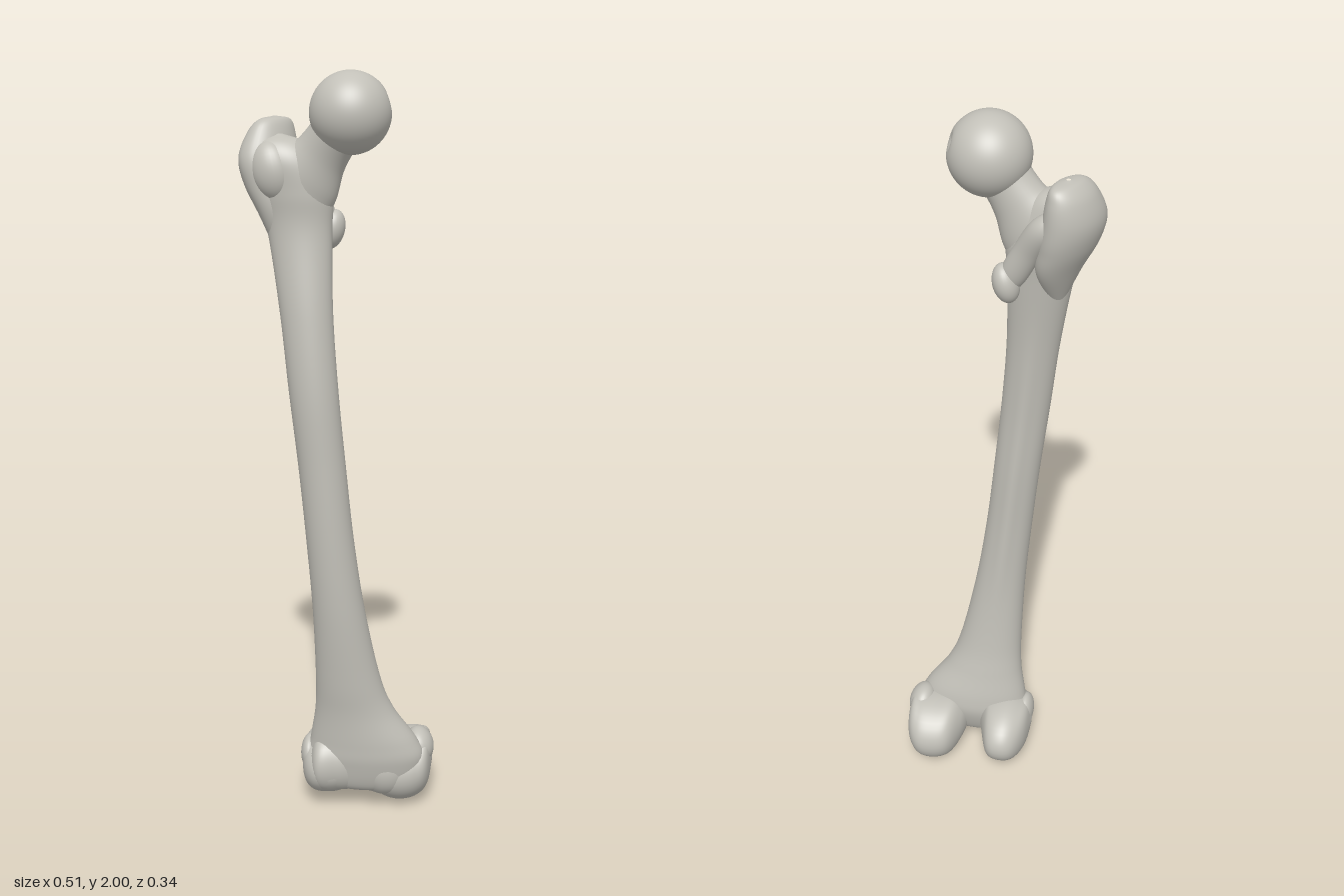
import * as THREE from 'three';

const V = (x, y, z) => new THREE.Vector3(x, y, z);

// Smooth closed body through parallel oval sections.
// rows: [x, y, z, radius along u, radius along n x u]; rows advance along n.
function loft(rows, n, u, { steps = 8, sides = 40, shape = () => 1 } = {}) {
  n = n.clone().normalize();
  u = u.clone().addScaledVector(n, -u.dot(n)).normalize();
  const v = n.clone().cross(u);
  const path = new THREE.CatmullRomCurve3(rows.map(r => V(r[0], r[1], r[2])), false, 'catmullrom');
  const size = new THREE.CatmullRomCurve3(rows.map(r => V(r[3], r[4], 0)), false, 'catmullrom');
  const rings = (rows.length - 1) * steps;
  const pos = [], index = [];
  for (let i = 0; i <= rings; i++) {
    const t = i / rings, c = path.getPoint(t), s = size.getPoint(t);
    for (let j = 0; j < sides; j++) {
      const a = j / sides * Math.PI * 2, k = shape(a, c);
      const p = c.clone()
        .addScaledVector(u, Math.max(s.x, 0.0005) * Math.cos(a) * k)
        .addScaledVector(v, Math.max(s.y, 0.0005) * Math.sin(a) * k);
      pos.push(p.x, p.y, p.z);
      if (i < rings) {
        const q = i * sides + j, r = i * sides + (j + 1) % sides;
        index.push(q, r, q + sides, r, r + sides, q + sides);
      }
    }
  }
  const g = new THREE.BufferGeometry();
  g.setAttribute('position', new THREE.Float32BufferAttribute(pos, 3));
  g.setIndex(index);
  g.computeVertexNormals();
  return g;
}

export function createModel() {
  const group = new THREE.Group();
  const bone = new THREE.MeshStandardMaterial({ color: 0xc2c0b8 });
  bone.name = 'bone';
  const X = V(1, 0, 0), Y = V(0, 1, 0), Z = V(0, 0, 1);

  const add = (name, geometry) => {
    const m = new THREE.Mesh(geometry, bone);
    m.name = name;
    group.add(m);
    return m;
  };
  const knob = (name, p, r, tilt = 0) => {
    const m = add(name, new THREE.SphereGeometry(1, 32, 20));
    m.position.set(...p);
    m.scale.set(...r);
    m.rotation.z = tilt;
  };

  // Bowed shaft, flared at both ends, with a ridge down the back
  add('shaft', loft([
    [0.065, 0.05, 0.015, 0.02, 0.01],
    [0.065, 0.075, 0.018, 0.13, 0.05],
    [0.07, 0.15, 0.015, 0.16, 0.075],
    [0.064, 0.21, 0.018, 0.147, 0.077],
    [0.04, 0.30, 0.03, 0.109, 0.068],
    [0.023, 0.40, 0.045, 0.088, 0.064],
    [0, 0.60, 0.065, 0.07, 0.062],
    [-0.022, 0.80, 0.075, 0.063, 0.06],
    [-0.042, 1.00, 0.078, 0.062, 0.059],
    [-0.063, 1.20, 0.08, 0.064, 0.057],
    [-0.082, 1.40, 0.067, 0.068, 0.054],
    [-0.101, 1.60, 0.042, 0.082, 0.054],
    [-0.115, 1.70, 0.037, 0.098, 0.063],
    [-0.14, 1.78, 0.04, 0.093, 0.062],
    [-0.152, 1.825, 0.035, 0.065, 0.045],
    [-0.155, 1.845, 0.03, 0.01, 0.01],
  ], Y, X, {
    sides: 48,
    shape: (a, c) => 1 + 0.14 * Math.exp(-(((a - Math.PI / 2) / 0.3) ** 2))
      * Math.exp(-(((c.y - 1.0) / 0.42) ** 4)),
  }));

  // Ball of the hip joint with a small pit on its inner side
  const ball = new THREE.SphereGeometry(0.102, 64, 48);
  const pit = V(0.095, 0.03, -0.022).setLength(0.102);
  const bp = ball.attributes.position, p = V(0, 0, 0);
  for (let i = 0; i < bp.count; i++) {
    p.fromBufferAttribute(bp, i);
    p.multiplyScalar(1 - 0.13 * Math.exp(-((p.distanceTo(pit) / 0.019) ** 2)));
    bp.setXYZ(i, p.x, p.y, p.z);
  }
  ball.computeVertexNormals();
  add('head', ball).position.set(0.03, 1.898, 0.068);

  // Neck, widening from the ball down into the shaft
  add('neck', loft([
    [-0.14, 1.645, 0.033, 0.02, 0.02],
    [-0.12, 1.68, 0.035, 0.088, 0.05],
    [-0.085, 1.735, 0.042, 0.093, 0.056],
    [-0.045, 1.795, 0.05, 0.07, 0.055],
    [-0.01, 1.845, 0.06, 0.064, 0.06],
    [0.025, 1.89, 0.067, 0.07, 0.07],
    [0.03, 1.9, 0.068, 0.01, 0.01],
  ], V(0.6, 0.79, 0.13), V(0.8, -0.6, 0)));

  // Large outer prominence beside the neck, set obliquely
  add('greaterTrochanter', loft([
    [-0.145, 1.53, 0.035, 0.01, 0.01],
    [-0.15, 1.64, 0.018, 0.068, 0.046],
    [-0.173, 1.72, 0.008, 0.09, 0.06],
    [-0.185, 1.785, 0.002, 0.094, 0.062],
    [-0.18, 1.845, -0.008, 0.078, 0.048],
    [-0.172, 1.878, -0.012, 0.055, 0.028],
    [-0.17, 1.887, -0.012, 0.005, 0.005],
  ], Y, V(0.5, 0, -0.87)));
  knob('trochanterShoulder', [-0.165, 1.755, 0.065], [0.055, 0.075, 0.048], 0.2);

  // Small inner prominence and the crest joining it to the large one
  knob('lesserTrochanter', [-0.026, 1.605, -0.012], [0.033, 0.052, 0.038], -0.25);
  add('trochantericCrest', loft([
    [-0.03, 1.58, 0.0, 0.005, 0.005],
    [-0.04, 1.62, -0.006, 0.032, 0.028],
    [-0.08, 1.70, -0.02, 0.035, 0.03],
    [-0.12, 1.77, -0.038, 0.035, 0.03],
    [-0.14, 1.82, -0.045, 0.005, 0.005],
  ], V(-0.4, 0.9, -0.15), X));

  // Rounded knee-joint lobes, lofted from side to side
  add('medialCondyle', loft([
    [0.075, 0.125, -0.005, 0.02, 0.02],
    [0.092, 0.115, -0.02, 0.075, 0.06],
    [0.12, 0.108, -0.042, 0.11, 0.09],
    [0.165, 0.104, -0.051, 0.12, 0.099],
    [0.21, 0.11, -0.055, 0.112, 0.094],
    [0.24, 0.125, -0.048, 0.08, 0.072],
    [0.252, 0.13, -0.042, 0.005, 0.005],
  ], X, Z));
  add('lateralCondyle', loft([
    [-0.112, 0.13, -0.015, 0.005, 0.005],
    [-0.1, 0.122, -0.022, 0.075, 0.06],
    [-0.075, 0.118, -0.03, 0.118, 0.083],
    [-0.04, 0.12, -0.034, 0.131, 0.091],
    [0, 0.12, -0.032, 0.12, 0.085],
    [0.025, 0.125, -0.012, 0.082, 0.066],
    [0.055, 0.13, 0.02, 0.01, 0.01],
  ], X, Z));

  // Grooved surface in front, between the lobes
  add('patellarSurface', loft([
    [-0.09, 0.14, 0.03, 0.005, 0.005],
    [-0.06, 0.135, 0.035, 0.063, 0.075],
    [0, 0.135, 0.033, 0.058, 0.08],
    [0.06, 0.135, 0.025, 0.048, 0.078],
    [0.12, 0.125, 0.025, 0.058, 0.08],
    [0.17, 0.125, 0.02, 0.045, 0.065],
    [0.2, 0.13, 0.01, 0.005, 0.005],
  ], X, Z));

  // Side bumps above the joint
  knob('medialEpicondyle', [0.217, 0.17, -0.035], [0.038, 0.05, 0.055], 0.3);
  knob('lateralEpicondyle', [-0.088, 0.15, 0.005], [0.025, 0.05, 0.05]);

  return group;
}
